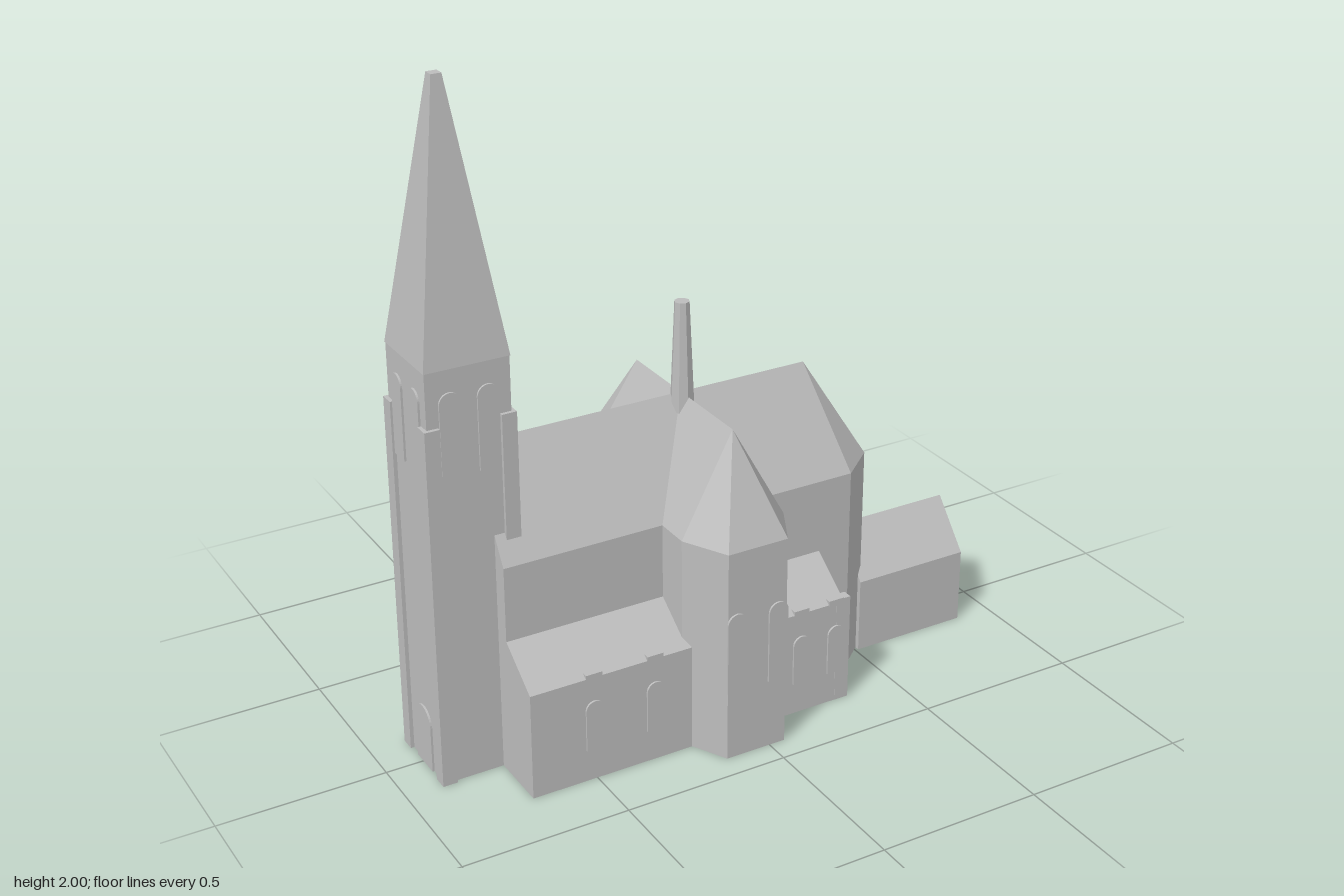
import * as THREE from 'three';
import { ConvexGeometry } from 'three/addons/geometries/ConvexGeometry.js';

const stone = new THREE.MeshStandardMaterial({ color: 0xbcbcbc });
stone.name = 'stone grey';

export function createModel() {
  const model = new THREE.Group();
  model.name = 'church';

  const add = (name, geometry, x = 0, y = 0, z = 0) => {
    const mesh = new THREE.Mesh(geometry, stone);
    mesh.name = name;
    mesh.position.set(x, y, z);
    model.add(mesh);
    return mesh;
  };
  // box from its low and high corners
  const block = (name, x0, x1, y0, y1, z0, z1) =>
    add(name, new THREE.BoxGeometry(x1 - x0, y1 - y0, z1 - z0), (x0 + x1) / 2, (y0 + y1) / 2, (z0 + z1) / 2);
  // walls over a convex [x, z] plan up to the eaves, closed by a roof over the ridge points
  const house = (name, plan, eaves, ridge) => {
    const points = ridge.map(p => new THREE.Vector3(...p));
    for (const [x, z] of plan) points.push(new THREE.Vector3(x, 0, z), new THREE.Vector3(x, eaves, z));
    return add(name, new ConvexGeometry(points));
  };
  // thin round-headed plate standing on its base centre, facing +z before turning
  const arch = (name, w, h, x, y, z, turn) => {
    const r = w / 2;
    const s = new THREE.Shape();
    s.moveTo(-r, 0);
    s.lineTo(r, 0);
    s.lineTo(r, h - r);
    s.absarc(0, h - r, r, 0, Math.PI, false);
    s.closePath();
    const g = new THREE.ExtrudeGeometry(s, { depth: 0.006, bevelEnabled: false, curveSegments: 8 });
    add(name, g, x, y, z).rotation.y = turn;
  };

  // nave with polygonal apse
  house('nave', [[-0.7, 0.183], [0.42, 0.183], [0.53, 0.09], [0.53, -0.09], [0.42, -0.183], [-0.7, -0.183]],
    0.655, [[-0.7, 0.953, 0], [0.365, 0.953, 0]]);

  // transept with canted ends
  house('transept', [[-0.14, 0.424], [0.05, 0.424], [0.12, 0.29], [0.12, -0.29],
    [0.05, -0.424], [-0.14, -0.424], [-0.21, -0.29], [-0.21, 0.29]],
    0.655, [[-0.045, 0.953, 0.283], [-0.045, 0.953, -0.255]]);

  // low annex behind the apse
  house('annex', [[0.51, 0.122], [0.885, 0.122], [0.885, -0.122], [0.51, -0.122]],
    0.235, [[0.51, 0.38, 0], [0.885, 0.38, 0]]);

  // side aisles with windows and corner buttresses
  for (const s of [1, -1]) {
    house('aisle', [[-0.7, 0.1 * s], [-0.7, 0.32 * s], [0.315, 0.32 * s], [0.315, 0.1 * s]],
      0.328, [[-0.7, 0.43, 0.18 * s], [0.315, 0.43, 0.18 * s], [-0.7, 0.43, 0.1 * s], [0.315, 0.43, 0.1 * s]]);
    const turn = s > 0 ? 0 : Math.PI;
    for (const x of [-0.505, -0.313, 0.17, 0.288]) {
      arch('aisleWindow', 0.056, 0.155, x, 0.1, 0.32 * s, turn);
      block('eavesBlock', x - 0.025, x + 0.025, 0.325, 0.341, 0.311 * s - 0.011, 0.311 * s + 0.011);
    }
    block('aisleButtress', 0.29, 0.336, 0, 0.338, 0.306 * s - 0.015, 0.306 * s + 0.015);
    for (const x of [-0.112, 0.022]) arch('transeptWindow', 0.062, 0.25, x, 0.215, 0.424 * s, turn);
  }

  // tower: shaft, spire, corner buttresses and belfry openings
  const tx = -0.758, tz = 0.012, half = 0.122;
  block('towerShaft', tx - half, tx + half, 0, 1.25, tz - half, tz + half);
  const spire = new THREE.CylinderGeometry(0.015 * Math.SQRT2, (half + 0.002) * Math.SQRT2, 0.75, 4, 1).toNonIndexed();
  spire.rotateY(Math.PI / 4);
  spire.computeVertexNormals();
  add('spire', spire, tx, 1.625, tz);
  for (const sx of [1, -1]) for (const sz of [1, -1]) {
    const cx = tx + sx * 0.111, cz = tz + sz * 0.111;
    block('towerButtress', cx - 0.022, cx + 0.022, 0, 1.09, cz - 0.022, cz + 0.022);
  }
  for (let i = 0; i < 4; i++) {
    const a = i * Math.PI / 2, sin = Math.sin(a), cos = Math.cos(a);
    for (const o of [-0.055, 0.055])
      arch('belfryOpening', 0.062, 0.245, tx + half * sin + o * cos, 0.94, tz + half * cos - o * sin, a);
  }
  arch('westDoor', 0.1, 0.19, tx - half, 0, tz, -Math.PI / 2);

  // slender turret over the crossing
  const turret = new THREE.CylinderGeometry(0.022, 0.036, 0.33, 8).toNonIndexed();
  turret.computeVertexNormals();
  add('crossingTurret', turret, -0.047, 1.07, 0.012);

  return model;
}
